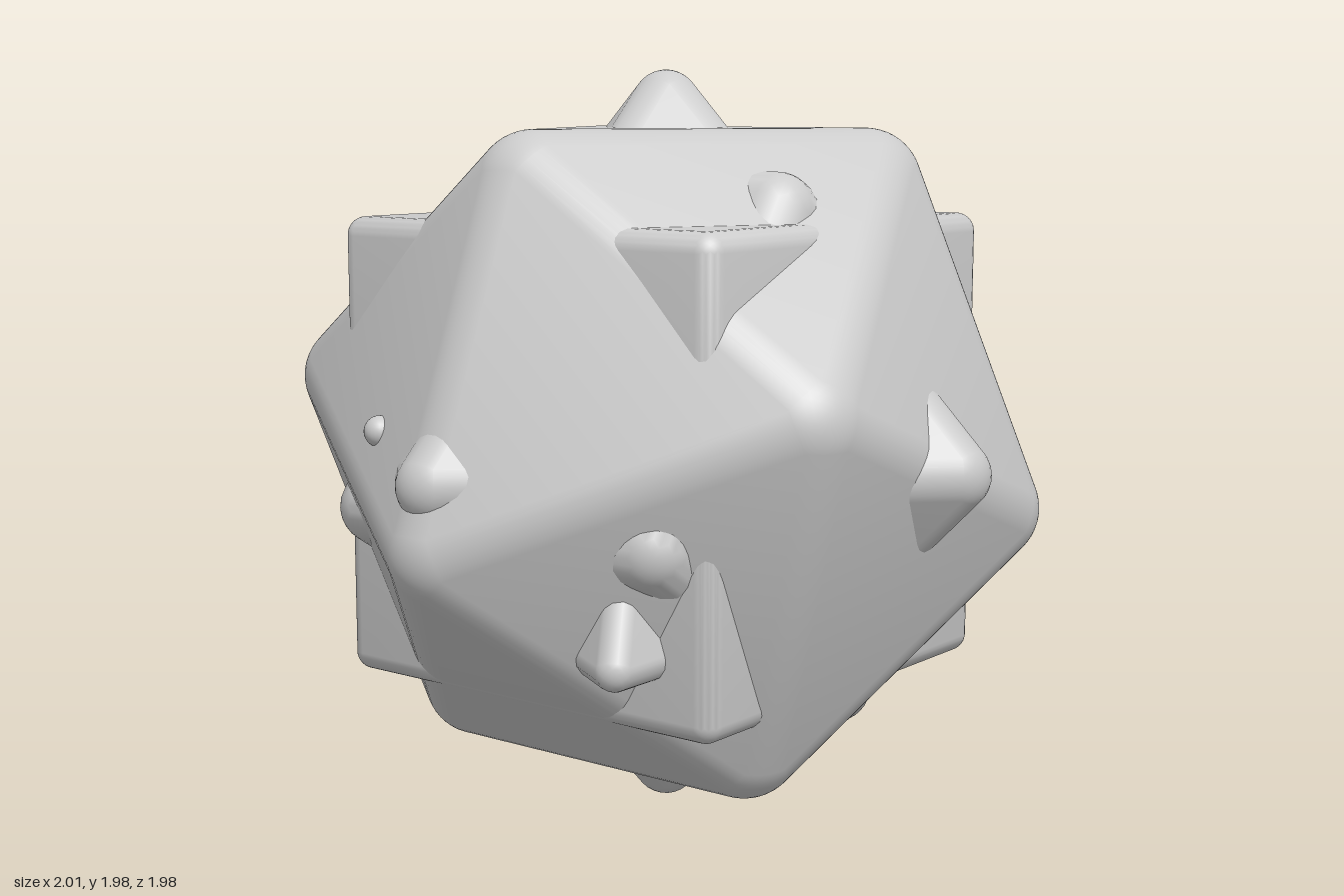
import * as THREE from 'three';
import { ConvexGeometry } from 'three/addons/geometries/ConvexGeometry.js';

const PHI = (1 + Math.sqrt(5)) / 2;
const V = (x, y, z) => new THREE.Vector3(x, y, z);

// All sign variants of a point
function signs(x, y, z) {
  const out = [];
  const s = (a) => (a === 0 ? [0] : [a, -a]);
  for (const i of s(x)) for (const j of s(y)) for (const k of s(z)) out.push(V(i, j, k));
  return out;
}
// Sign variants of the three cyclic orders
const cyclic = (x, y, z) => [...signs(x, y, z), ...signs(y, z, x), ...signs(z, x, y)];

// Convex solid with rolled edges: a small sphere patch on every corner of a shrunken core
function roundedSolid(corners, faceNormals, circumradius, r, steps = 5) {
  const verts = corners.map((v) => v.clone().setLength(circumradius));
  const normals = faceNormals.map((n) => n.clone().normalize());
  const inradius = Math.max(...normals.map((n) => n.dot(verts[0])));
  const points = new Map();
  const cores = verts.map((v) => v.clone().multiplyScalar(1 - r / inradius));
  verts.forEach((v, index) => {
    const around = normals.filter((n) => n.dot(v) > inradius - 1e-5);
    const axis = v.clone().normalize();
    let nearest = -1;
    for (const a of around) for (const b of around) if (a !== b) nearest = Math.max(nearest, a.dot(b));
    for (const a of around) for (const b of around) {
      if (a === b || a.dot(b) < nearest - 1e-5) continue;
      for (let i = 0; i <= steps; i++) for (let j = 0; j <= steps - i; j++) {
        const n = a.clone().multiplyScalar(i).addScaledVector(b, j)
          .addScaledVector(axis, steps - i - j).normalize();
        const p = cores[index].clone().addScaledVector(n, r);
        points.set(p.toArray().map((c) => Math.round(c * 1e4)).join(), p);
      }
    }
  });
  const geo = new ConvexGeometry([...points.values()]);
  // Smooth normals from the corner spheres, leaning slightly outward
  const pos = geo.attributes.position;
  const nor = geo.attributes.normal;
  const p = V(0, 0, 0);
  for (let i = 0; i < pos.count; i++) {
    p.fromBufferAttribute(pos, i);
    const core = cores.reduce((best, c) => (c.distanceTo(p) < best.distanceTo(p) ? c : best));
    const n = p.clone().sub(core).normalize();
    n.addScaledVector(p.clone().normalize(), 0.2).normalize();
    nor.setXYZ(i, n.x, n.y, n.z);
  }
  return geo;
}

export function createModel() {
  const group = new THREE.Group();
  const material = new THREE.MeshStandardMaterial({ color: 0xcccccc });
  const add = (name, geo, x = 0, y = 1, z = 0, turn = 0) => {
    const mesh = new THREE.Mesh(geo, material);
    mesh.name = name;
    mesh.position.set(x, y, z);
    mesh.rotation.z = turn;
    group.add(mesh);
  };
  const R = 1.057;
  const cubeCorners = signs(1, 1, 1);
  const axes = cyclic(1, 0, 0);

  // Main body, turned so one face lies level on top
  add('icosahedron',
    roundedSolid(cyclic(0, 1, PHI), [...cubeCorners, ...cyclic(1 / PHI, 0, PHI)], R, 0.15),
    0, 1, 0, Math.atan(PHI * PHI));

  // Points along the six axes
  add('octahedron', roundedSolid(axes, cubeCorners, R, 0.09));

  // Upright cube and the smaller, turned one
  add('cube', roundedSolid(cubeCorners, axes, R, 0.05));
  add('turnedCube', roundedSolid(cubeCorners, axes, 0.56 * Math.sqrt(3), 0.1),
    0, 1, 0, THREE.MathUtils.degToRad(-32.5));

  // Tetrahedron standing on its base
  const tetra = [V(0, 1, 0), V(0, -1 / 3, -0.9428), V(0.8165, -1 / 3, 0.4714), V(-0.8165, -1 / 3, 0.4714)];
  add('tetrahedron', roundedSolid(tetra, tetra.map((v) => v.clone().negate()), R, 0.05), 0, 0.885, 0);

  // Two tiny opposite bumps
  for (const s of [1, -1]) {
    add('bump', new THREE.SphereGeometry(0.04, 24, 16), 0.805 * s, 1 - 0.095 * s, 0.275 * s);
  }
  return group;
}
